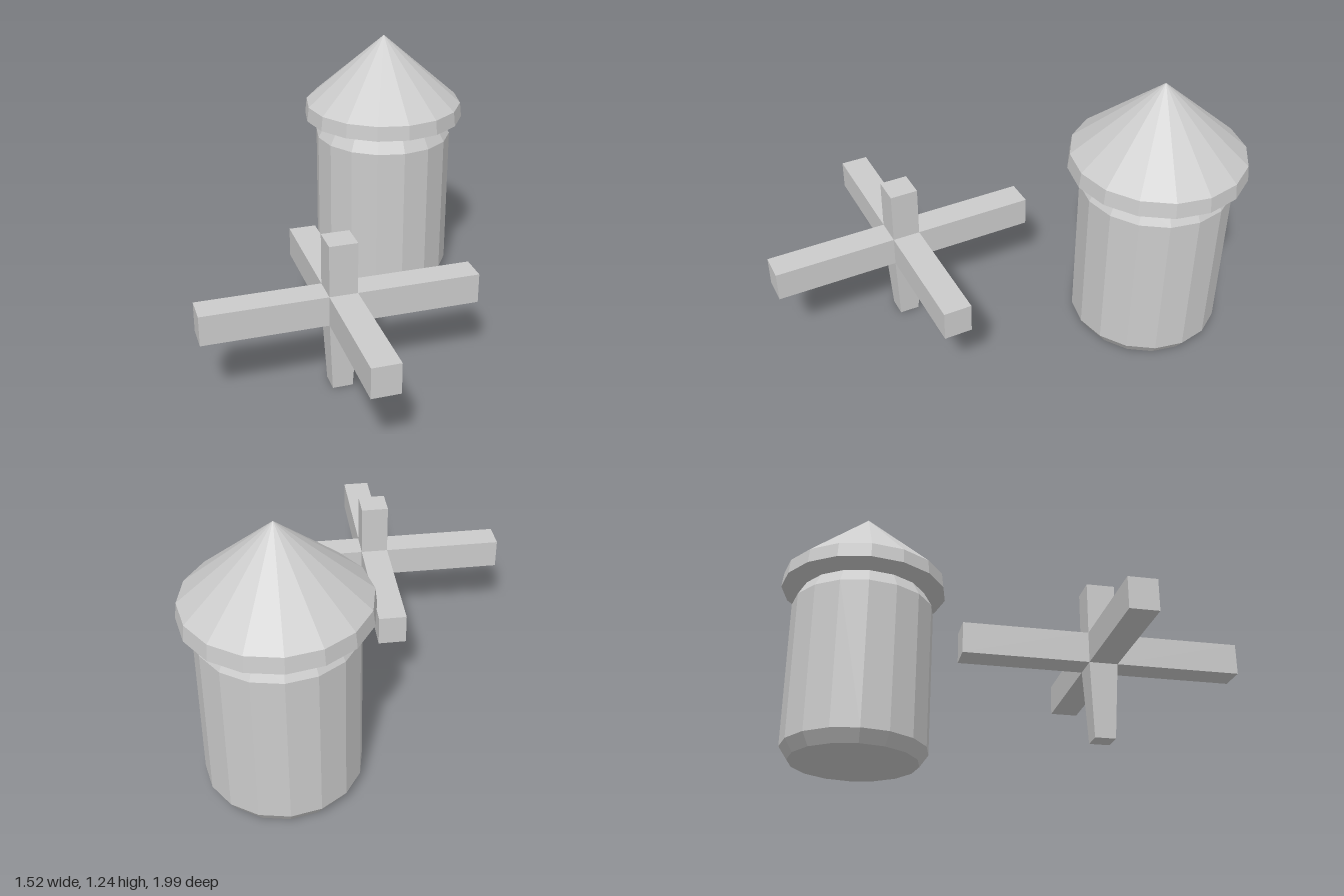
import * as THREE from 'three';

export function createModel() {
  const model = new THREE.Group();
  const material = new THREE.MeshStandardMaterial({ color: 0xcccccc, flatShading: true });

  function add(parent, name, geometry, x = 0, y = 0, z = 0) {
    const mesh = new THREE.Mesh(geometry, material);
    mesh.name = name;
    mesh.position.set(x, y, z);
    parent.add(mesh);
    return mesh;
  }

  // Sixteen-sided turned part, its profile given from bottom to top
  const turned = (profile) =>
    new THREE.LatheGeometry(profile.map(([r, y]) => new THREE.Vector2(r, y)), 16);

  // Round hut with bevelled wall and overhanging conical roof
  const hut = new THREE.Group();
  hut.name = 'hut';
  hut.position.set(0.37, 0, -0.61);
  model.add(hut);
  add(hut, 'wall', turned([[0, 0], [0.295, 0], [0.334, 0.057], [0.334, 0.75], [0.295, 0.818]]));
  add(hut, 'roof', turned([[0.295, 0.818], [0.39, 0.84], [0.382, 0.91], [0, 1.243]]));

  // Four-armed crossing of square beams on a tapered leg
  const cross = new THREE.Group();
  cross.name = 'cross';
  cross.position.set(-0.155, 0, 0.386);
  model.add(cross);

  const width = 0.124, reach = 0.609, low = 0.328, high = 0.464, top = 0.697;
  add(cross, 'post', new THREE.BoxGeometry(width, top - low, width), 0, (top + low) / 2, 0);

  const leg = new THREE.CylinderGeometry(width / Math.SQRT2, 0.09 / Math.SQRT2, low, 4);
  leg.rotateY(Math.PI / 4);
  add(cross, 'leg', leg, 0, low / 2, 0);

  // Arms start at the faces of the post
  const length = reach - width / 2;
  const arm = new THREE.BoxGeometry(length, high - low, width);
  arm.translate(width / 2 + length / 2, (low + high) / 2, 0);
  ['leftArm', 'backArm', 'rightArm', 'frontArm'].forEach((name, i) => {
    add(cross, name, arm).rotation.y = (i * Math.PI) / 2;
  });

  return model;
}
